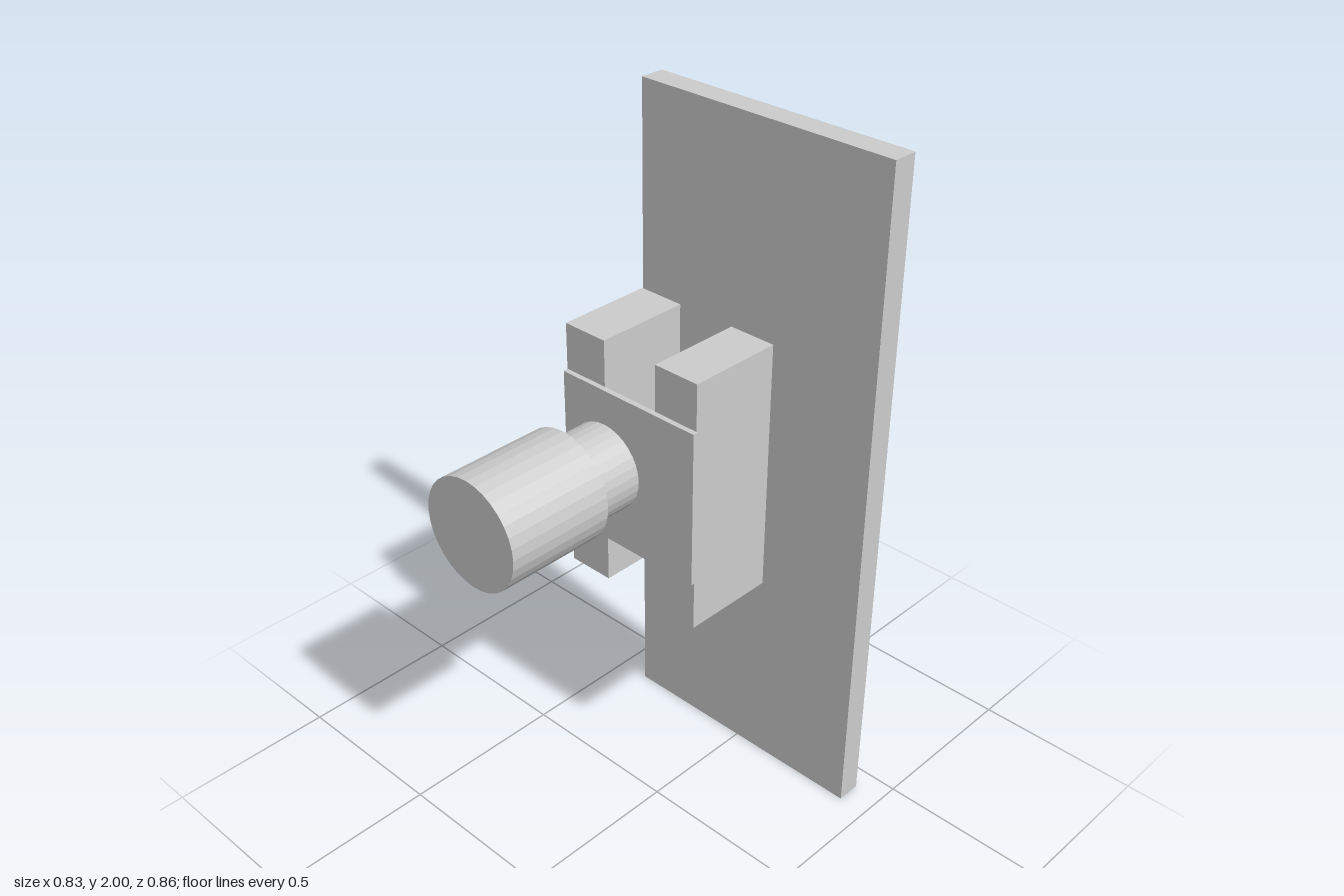
import * as THREE from 'three';

export function createModel() {
  const group = new THREE.Group();
  const material = new THREE.MeshStandardMaterial({ color: 0xcccccc, flatShading: true });

  const add = (name, geometry) => {
    const mesh = new THREE.Mesh(geometry, material);
    mesh.name = name;
    group.add(mesh);
  };

  // Box given by its extents along each axis
  const box = (name, [x0, x1], [y0, y1], [z0, z1]) =>
    add(name, new THREE.BoxGeometry(x1 - x0, y1 - y0, z1 - z0)
      .translate((x0 + x1) / 2, (y0 + y1) / 2, (z0 + z1) / 2));

  // Cylinder lying along z
  const barrel = (name, radius, x, y, z0, z1) =>
    add(name, new THREE.CylinderGeometry(radius, radius, z1 - z0, 32)
      .rotateX(Math.PI / 2)
      .translate(x, y, (z0 + z1) / 2));

  // Tall back panel
  box('backPanel', [-0.401, 0.413], [0, 2], [-0.432, -0.359]);

  // Two upright spacer blocks on the panel
  box('rightSpacer', [-0.404, -0.259], [0.624, 1.398], [-0.36, -0.067]);
  box('leftSpacer', [-0.072, 0.075], [0.624, 1.398], [-0.36, -0.067]);

  // Thin plate bridging the spacers
  box('mountingPlate', [-0.402, 0.08], [0.782, 1.259], [-0.068, -0.051]);

  // Stepped knob: narrow neck and wide head
  barrel('knobNeck', 0.129, -0.243, 1.028, -0.047, 0.099);
  barrel('knobHead', 0.166, -0.25, 1.03, 0.098, 0.432);

  return group;
}
